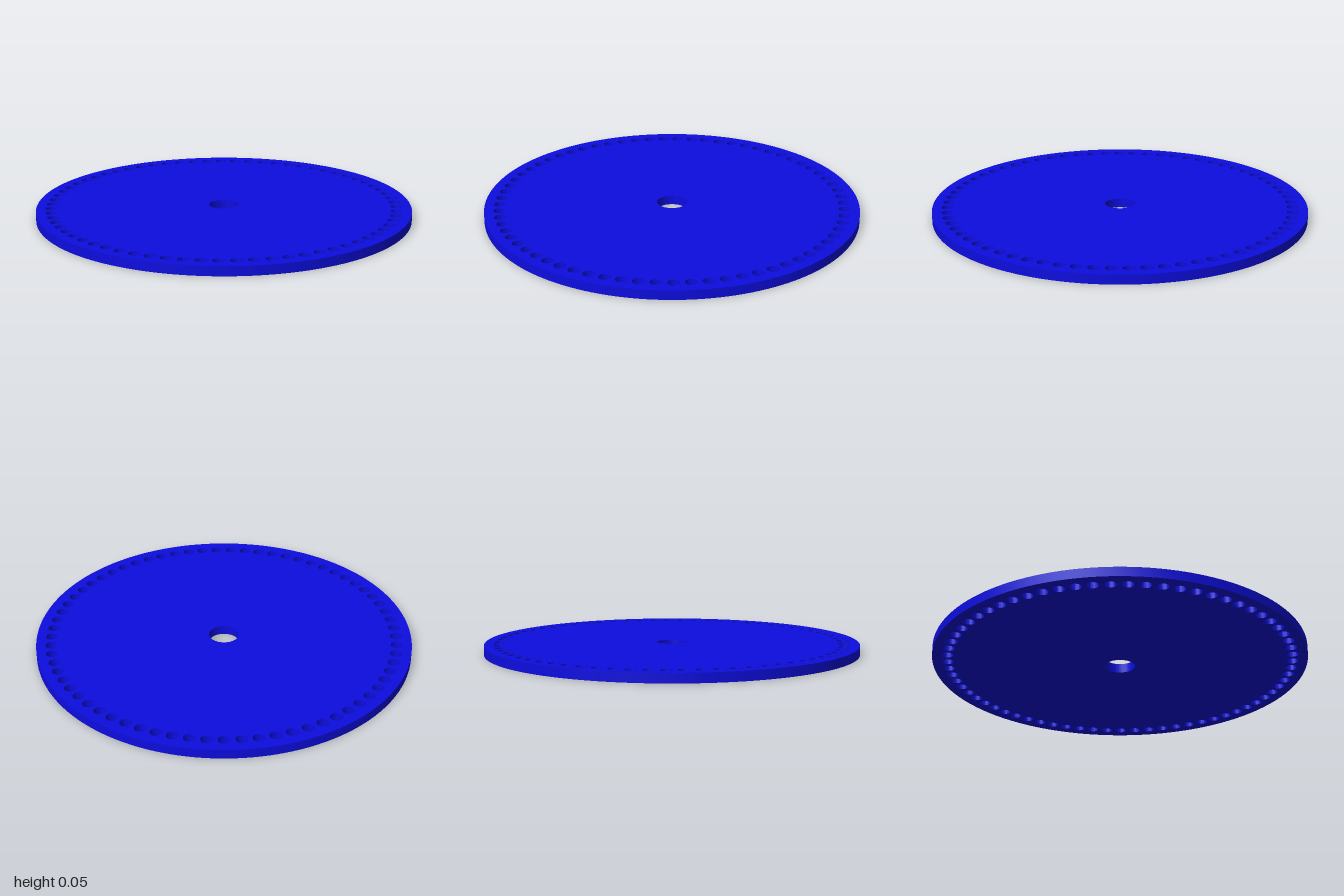
import * as THREE from 'three';
import { toCreasedNormals } from 'three/addons/utils/BufferGeometryUtils.js';

const RADIUS = 1, THICKNESS = 0.05;
const BORE_RADIUS = 0.08;
const HOLE_COUNT = 69, HOLE_RADIUS = 0.031, HOLE_RING = 0.92;

// Closed circle as evenly spaced points
function circle(cx, cy, r, sides) {
  return Array.from({ length: sides }, (_, i) => {
    const a = (i / sides) * Math.PI * 2;
    return new THREE.Vector2(cx + r * Math.cos(a), cy + r * Math.sin(a));
  });
}

export function createModel() {
  const group = new THREE.Group();
  group.name = 'perforatedDisc';

  // Disc outline with the central bore
  const outline = new THREE.Shape(circle(0, 0, RADIUS, 180));
  outline.holes.push(new THREE.Path(circle(0, 0, BORE_RADIUS, 64)));

  // Ring of small through holes near the rim
  for (let i = 0; i < HOLE_COUNT; i++) {
    const a = (i / HOLE_COUNT) * Math.PI * 2;
    const x = HOLE_RING * Math.cos(a), y = HOLE_RING * Math.sin(a);
    outline.holes.push(new THREE.Path(circle(x, y, HOLE_RADIUS, 28)));
  }

  // Lay the plate flat on the ground; smooth walls, sharp edges
  const plate = new THREE.ExtrudeGeometry(outline, { depth: THICKNESS, bevelEnabled: false });
  plate.rotateX(-Math.PI / 2);
  const disc = new THREE.Mesh(
    toCreasedNormals(plate, Math.PI / 5),
    new THREE.MeshStandardMaterial({ color: 0x0d0de0 })
  );
  disc.name = 'disc';
  group.add(disc);

  return group;
}
